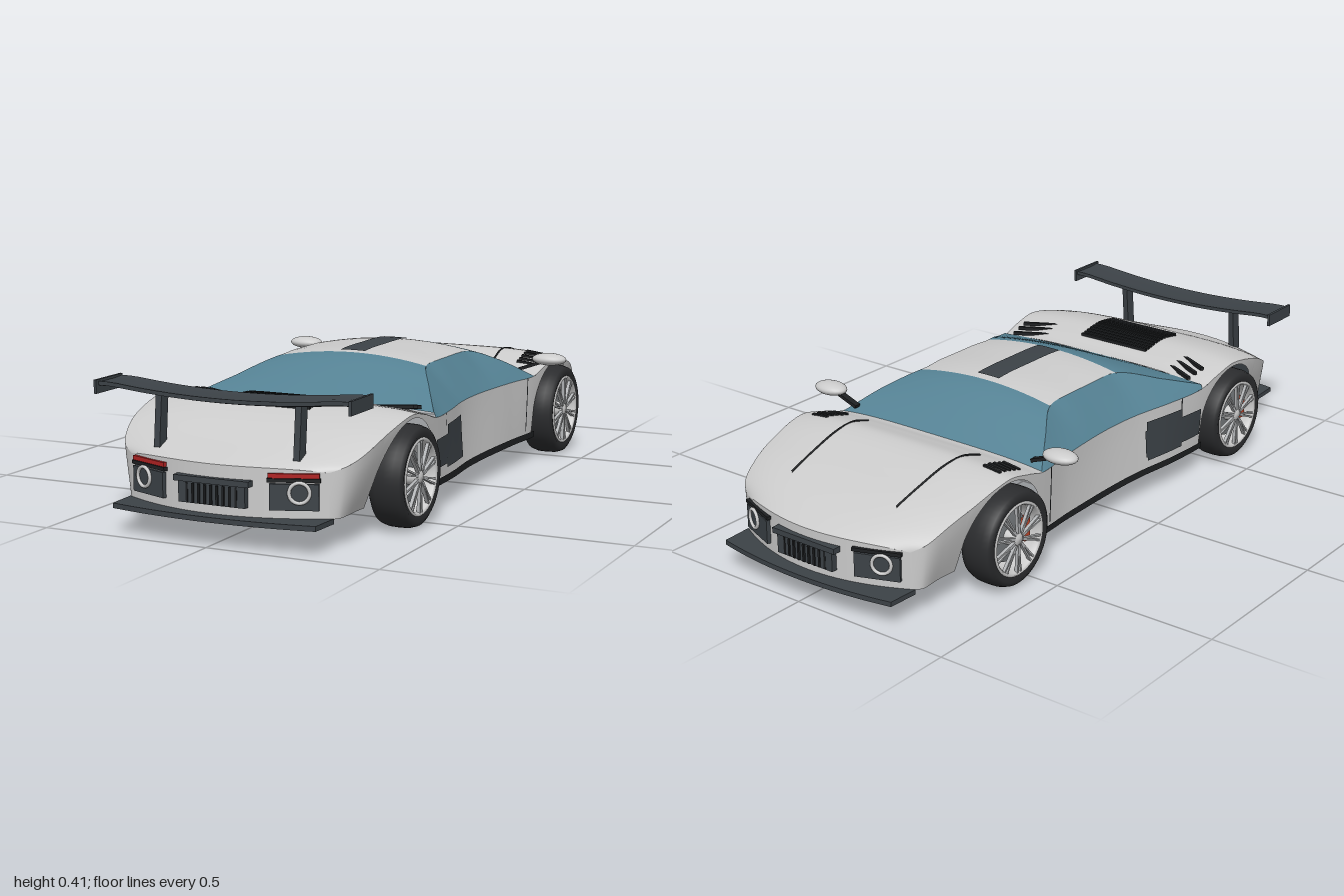
import * as THREE from 'three';

const mat = (color, side = THREE.FrontSide) => new THREE.MeshStandardMaterial({ color, side });
const BODY = 0xcccccc, GLASS = 0x558294, DARK = 0x3c4247, BLACK = 0x1e2022, TYRE = 0x2b2c2e, RED = 0xb02222;

// Smooth curve y(x) through a few [x, y] points in rising x
function profile(p) {
  const slope = i => {
    const a = p[Math.max(i - 1, 0)], b = p[Math.min(i + 1, p.length - 1)];
    return (b[1] - a[1]) / (b[0] - a[0]);
  };
  return x => {
    x = THREE.MathUtils.clamp(x, p[0][0], p[p.length - 1][0]);
    let i = 0;
    while (i < p.length - 2 && x > p[i + 1][0]) i++;
    const h = p[i + 1][0] - p[i][0], t = (x - p[i][0]) / h, t2 = t * t, t3 = t2 * t;
    return (2 * t3 - 3 * t2 + 1) * p[i][1] + (t3 - 2 * t2 + t) * h * slope(i)
      + (3 * t2 - 2 * t3) * p[i + 1][1] + (t3 - t2) * h * slope(i + 1);
  };
}

// Body lines along z (nose at -z, tail at +z)
const END = 0.96, SILL = 0.08, AXLE = 0.565, WHEEL_R = 0.142;
const halfWidth = profile([[-.96, .3], [-.9, .335], [-.8, .358], [-.7, .375], [-.56, .385], [-.4, .375], [-.25, .352],
  [-.05, .336], [.1, .342], [.25, .368], [.4, .388], [.56, .395], [.7, .387], [.8, .37], [.9, .337], [.96, .3]]);
const deckTop = profile([[-.96, .205], [-.85, .252], [-.73, .292], [-.57, .328], [-.48, .308], [-.4, .285],
  [.4, .3], [.48, .315], [.58, .328], [.7, .305], [.85, .252], [.96, .215]]);
const edgeY = profile([[-.96, .19], [-.85, .23], [-.73, .27], [-.57, .31], [-.47, .292], [-.4, .272], [-.3, .27],
  [.3, .27], [.4, .275], [.48, .297], [.57, .311], [.7, .285], [.85, .232], [.96, .203]]);
const tuck = profile([[-.96, 0], [-.72, .05], [-.4, .01], [0, -.016], [.4, .01], [.72, .06], [.96, 0]]);
const roofY = profile([[-.4, .285], [-.28, .362], [-.19, .396], [0, .402], [.14, .397], [.22, .375], [.4, .3]]);
const roofHalf = profile([[-.4, .37], [-.3, .308], [-.19, .242], [-.1, .24], [.05, .24], [.14, .242], [.27, .31], [.4, .382]]);

// Ends are bowed in plan
const bow = (z, f) => z - Math.sign(z) * .08 * f * f * Math.max(0, (Math.abs(z) - .7) / .26) ** 2;
const deckY = (x, z) => deckTop(z) - (deckTop(z) - edgeY(z)) * Math.min(1, Math.abs(x) / halfWidth(z)) ** 4;
const cabinY = (f, z) => roofY(z) - Math.min(.025, .012 + Math.max(0, .4 - Math.abs(z)) * .1) * f * f;
const sideX = (z, y) => halfWidth(z) - tuck(z) * Math.max(0, 1 - (y - SILL) / (edgeY(z) - SILL)) ** 1.3;
const archY = z => {
  const d = Math.abs(Math.abs(z) - AXLE);
  return d < .16 ? .14 + Math.sqrt(.16 * .16 - d * d) : SILL;
};

// Curved sheet: fn(u, v) gives a point
function patch(parent, name, color, nu, nv, fn) {
  const g = new THREE.PlaneGeometry(1, 1, nu, nv), p = g.attributes.position, uv = g.attributes.uv;
  for (let i = 0; i < p.count; i++) p.setXYZ(i, ...fn(uv.getX(i), uv.getY(i)));
  g.computeVertexNormals();
  return add(parent, name, g, color, THREE.DoubleSide);
}
function add(parent, name, geo, color, side) {
  const m = new THREE.Mesh(geo, mat(color, side));
  m.name = name;
  parent.add(m);
  return m;
}
function box(parent, name, color, size, pos, rotY = 0) {
  const m = add(parent, name, new THREE.BoxGeometry(...size), color);
  m.position.set(...pos);
  m.rotation.y = rotY;
  return m;
}
const lerp = THREE.MathUtils.lerp;

function makeWheel(side, z) {
  const g = new THREE.Group();
  g.name = 'wheel';
  const lathe = (name, pts, color) => {
    const geo = new THREE.LatheGeometry(pts.map(q => new THREE.Vector2(...q)), 48).rotateZ(-Math.PI / 2);
    add(g, name, geo, color, THREE.DoubleSide);
  };
  lathe('tyre', [[.1, -.046], [.122, -.052], [.135, -.044], [.141, -.025], [.142, 0], [.141, .025], [.135, .044], [.122, .052], [.104, .046]], TYRE);
  lathe('rim', [[.094, -.046], [.094, .03], [.098, .046], [.103, .052], [.108, .047]], BODY);
  lathe('brakeDisc', [[0, .012], [.074, .012], [.074, 0], [0, 0]], 0x777b7e);
  lathe('wheelBack', [[0, -.025], [.094, -.025]], DARK);
  lathe('hub', [[0, .05], [.016, .048], [.022, .04], [.024, .01]], BODY);
  // Twin spokes
  for (let i = 0; i < 10; i++) for (const s of [-1, 1]) {
    const spoke = new THREE.BoxGeometry(.01, .082, .005).translate(.044, .059, 0).rotateX(s * .07 + i * Math.PI / 5);
    add(g, 'spoke', spoke, 0xb4b6b8);
  }
  box(g, 'brakeCaliper', 0xc2482c, [.024, .066, .024], [.016, 0, .064 * side]);
  g.position.set(side * .37, WHEEL_R, z);
  g.rotation.y = side > 0 ? 0 : Math.PI;
  return g;
}

// Bumper details, shared by tail and nose
function makeFascia(tail) {
  const g = new THREE.Group();
  g.name = tail ? 'tail' : 'nose';
  const zAt = x => END - .08 * (x / .3) ** 2;
  const yaw = x => Math.atan(.16 * x / .09);
  const put = (name, color, x, y, w, h, d = .012) => box(g, name, color, [w, h, d], [x, y, zAt(x)], yaw(x));
  patch(g, 'bumper', BODY, 24, 6, (u, v) => {
    const x = lerp(-.3, .3, u), z = tail ? END : -END;
    return [x, lerp(SILL, deckY(x, z), v), zAt(x)];
  });
  put('grille', DARK, 0, .142, .2, .07, .018);
  put('grilleBar', DARK, 0, .172, .225, .016, .028);
  for (let i = 0; i < 11; i++) put('grilleSlat', BLACK, -.09 + i * .018, .135, .006, .052, .03);
  for (const s of [-1, 1]) {
    put('lampHousing', DARK, s * .218, .14, .13, .07, .016);
    if (tail) put('tailLight', RED, s * .217, .196, .135, .012, .014);
    put('lampTrim', BLACK, s * .217, .184, .14, .01, .016);
    const ring = add(g, 'lampRing', new THREE.TorusGeometry(.027, .005, 8, 28), BODY);
    ring.position.set(s * .235, .152, zAt(.235) + .012);
    ring.rotation.y = yaw(s * .235);
    for (const x of [.09, .17, .25]) box(g, 'splitterRib', BLACK, [.006, .01, .07], [s * x, .064, .945 - x * .2]);
  }
  // Bowed splitter plate
  const s = new THREE.Shape();
  s.moveTo(-.31, .88).lineTo(-.305, .97).quadraticCurveTo(0, 1.03, .305, .97).lineTo(.31, .88).quadraticCurveTo(0, 1.04, -.31, .88);
  const plate = new THREE.Shape();
  plate.moveTo(-.31, .875).lineTo(-.305, .968).quadraticCurveTo(0, 1.032, .305, .968).lineTo(.31, .875)
    .lineTo(.15, .92).lineTo(-.15, .92).closePath();
  const geo = new THREE.ExtrudeGeometry(plate, { depth: .014, bevelEnabled: false, curveSegments: 20 });
  add(g, 'splitter', geo.rotateX(Math.PI / 2).translate(0, .082, 0), DARK);
  g.rotation.y = tail ? 0 : Math.PI;
  return g;
}

export function createModel() {
  const car = new THREE.Group();
  car.name = 'sportsCar';

  // Hood and engine deck
  const deck = (name, z0, z1) => patch(car, name, BODY, 40, 40, (u, v) => {
    const z = lerp(z0, z1, v), f = Math.sin((u - .5) * Math.PI), x = f * halfWidth(z);
    return [x, deckY(x, z), bow(z, f)];
  });
  deck('hood', -.4, -END);
  deck('engineDeck', END, .4);

  // Cabin top: windshield, roof, rear window
  const top = (name, color, z0, z1) => patch(car, name, color, 16, 16, (u, v) => {
    const z = lerp(z0, z1, v), f = u * 2 - 1;
    return [f * roofHalf(z), cabinY(f, z), z];
  });
  top('windshield', GLASS, -.19, -.4);
  top('roof', BODY, .14, -.19);
  top('rearWindow', GLASS, .4, .14);
  patch(car, 'roofScoop', DARK, 4, 12, (u, v) => {
    const x = lerp(-.04, .04, u), z = lerp(.13, -.17, v);
    return [x, cabinY(x / .24, z) + .004, z];
  });

  for (const s of [-1, 1]) {
    // Flank with wheel arches
    patch(car, 'flank', BODY, 320, 6, (u, v) => {
      const z = lerp(END, -END, u), y = lerp(archY(z), edgeY(z), v);
      return [s * sideX(z, y), y, bow(z, 1)];
    });
    patch(car, 'sideWindow', GLASS, 32, 5, (u, v) => {
      const z = lerp(.4, -.4, u), y = lerp(edgeY(z), cabinY(1, z), v);
      return [s * lerp(halfWidth(z), roofHalf(z), v), y, z];
    });
    // Trim lying on the flank
    const trim = (name, color, z0, z1, y0, y1, out = .004) => patch(car, name, color, 24, 3, (u, v) => {
      const z = lerp(z0, z1, u), y = lerp(y0, y1, v);
      return [s * (sideX(z, y) + out), y, z];
    });
    trim('sideIntake', DARK, .395, .14, .125, .21);
    trim('sideIntakeTop', DARK, .3, .145, .115, .238, .006);
    trim('sillTrim', BLACK, .41, -.41, .074, .094, .006);
    trim('doorLine', BLACK, -.352, -.357, .1, .27, .002);
    trim('doorLine', BLACK, .305, .3, .235, .27, .002);

    // Hood crease and vents
    const crease = [-.81, -.72, -.62, -.54, -.47].map((z, i) => {
      const x = s * (.192 + .004 * i);
      return new THREE.Vector3(x, deckY(x, z) + .001, z);
    });
    add(car, 'hoodCrease', new THREE.TubeGeometry(new THREE.CatmullRomCurve3(crease), 24, .003, 6), BLACK);
    for (let i = 0; i < 5; i++) {
      const z = -.555 + i * .021;
      const vent = box(car, 'fenderVent', BLACK, [.058, .008, .009], [s * .318, deckY(.318, z) + .001, z]);
      vent.rotation.z = -s * .13;
    }
    for (let i = 0; i < 3; i++) {
      const x = .275 + i * .008, z = .43 + i * .03;
      box(car, 'deckSlash', BLACK, [.15 - i * .01, .01, .011], [s * x, deckY(x, z) + .001, z], s * .5);
    }

    // Mirrors
    const mirror = add(car, 'mirror', new THREE.SphereGeometry(1, 24, 16), BODY);
    mirror.scale.set(.055, .019, .038);
    mirror.position.set(s * .427, .33, -.39);
    const arm = box(car, 'mirrorArm', BLACK, [.08, .01, .02], [s * .365, .306, -.385]);
    arm.rotation.z = s * .35;

    // Wing supports and end plates
    const strut = box(car, 'wingStrut', DARK, [.018, .15, .035], [s * .211, .302, .868]);
    strut.rotation.x = -.1;
    box(car, 'wingEndPlate', DARK, [.008, .038, .13], [s * .382, .385, .86]);

    for (const z of [-AXLE, AXLE]) car.add(makeWheel(s, z));
  }

  // Engine louvres
  for (let i = 0; i < 12; i++) {
    const z = .48 + i * .0152;
    box(car, 'engineLouvre', BLACK, [.25, .012, .009], [0, deckY(0, z) + .002, z]);
  }

  // Rear wing, dipping at the middle
  const wing = new THREE.BoxGeometry(.768, .016, .115, 24, 1, 8), p = wing.attributes.position;
  for (let i = 0; i < p.count; i++) {
    const k = p.getX(i) / .384, zz = p.getZ(i) / .0575;
    p.setY(i, p.getY(i) * (1.1 - .4 * Math.abs(zz)) + .02 * Math.min(1, k * k * 1.3) + .006 * zz * zz);
  }
  wing.computeVertexNormals();
  add(car, 'wing', wing.translate(0, .368, .857), DARK);

  car.add(makeFascia(true), makeFascia(false));
  return car;
}
